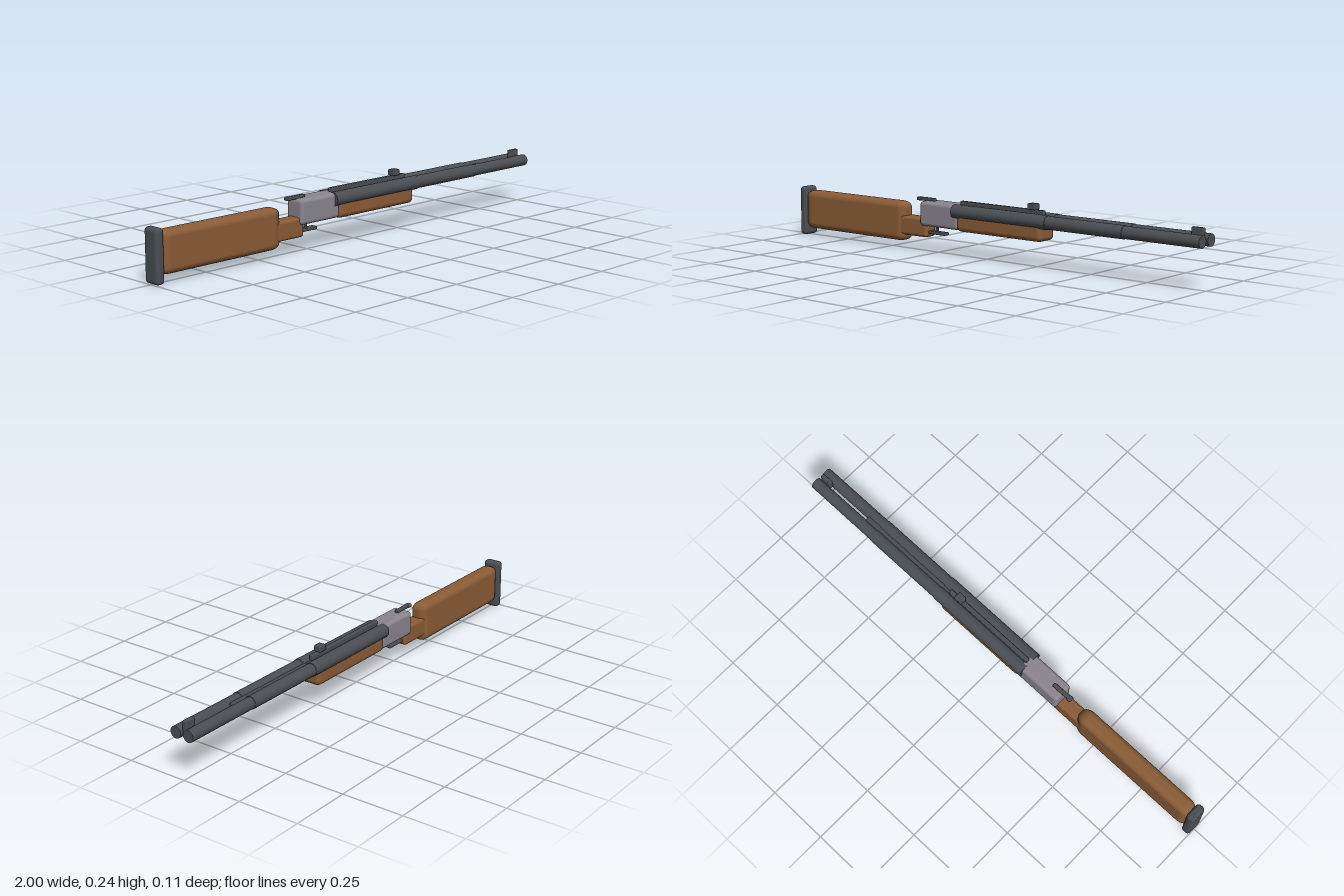
import * as THREE from 'three';
import { RoundedBoxGeometry } from 'three/addons/geometries/RoundedBoxGeometry.js';

const mat = (name, color) => {
  const m = new THREE.MeshStandardMaterial({ color });
  m.name = name;
  return m;
};

export function createModel() {
  const wood = mat('walnut wood', 0x8a5c36);
  const steel = mat('dark steel', 0x4a4e53);
  const silver = mat('silver alloy', 0x8b8590);
  const group = new THREE.Group();

  const add = (name, geometry, material, x, y, z = 0) => {
    const mesh = new THREE.Mesh(geometry, material);
    mesh.name = name;
    mesh.position.set(x, y, z);
    group.add(mesh);
    return mesh;
  };
  // Rounded block from its x and y limits and its half width
  const block = (name, material, x0, x1, y0, y1, halfZ, radius) =>
    add(name, new RoundedBoxGeometry(x1 - x0, y1 - y0, halfZ * 2, 4, radius),
      material, (x0 + x1) / 2, (y0 + y1) / 2);

  // Rear furniture
  block('buttPad', steel, -1, -0.963, 0.003, 0.206, 0.036, 0.014);
  const stock = block('stock', wood, -0.972, -0.405, 0.032, 0.192, 0.034, 0.026);
  block('wrist', wood, -0.44, -0.29, 0.06, 0.137, 0.03, 0.012);

  // Stretch the stock's end rounding lengthwise
  const p = stock.geometry.attributes.position;
  const half = 0.567 / 2;
  for (let i = 0; i < p.count; i++) {
    const x = p.getX(i);
    const fromEnd = half - Math.abs(x);
    if (fromEnd < 0.027) p.setX(i, Math.sign(x) * (half - fromEnd * 1.6));
  }
  stock.geometry.computeBoundingSphere();

  // Central body and fore-end
  block('receiver', silver, -0.315, -0.115, 0.108, 0.206, 0.042, 0.014);
  block('foreEnd', wood, -0.122, 0.297, 0.104, 0.182, 0.047, 0.02);

  // Twin stepped tubes
  const sections = [[-0.14, 0.32, 0.0275], [0.32, 0.67, 0.0255], [0.67, 1, 0.0235]];
  for (const side of [-1, 1]) {
    sections.forEach(([x0, x1, r], i) => {
      const g = new THREE.CylinderGeometry(r, r, x1 - x0, 32).rotateZ(-Math.PI / 2);
      add(`${side > 0 ? 'left' : 'right'}Tube${i + 1}`, g, steel, (x0 + x1) / 2, 0.181, side * 0.0285);
    });
  }

  // Web between the tubes, top rib and sights
  block('tubeWeb', steel, -0.13, 0.74, 0.17, 0.196, 0.012, 0.003);
  block('topRib', steel, -0.13, 0.282, 0.194, 0.22, 0.009, 0.004);
  block('rearSight', steel, 0.21, 0.246, 0.219, 0.243, 0.016, 0.004);
  block('frontSight', steel, 0.938, 0.988, 0.185, 0.227, 0.009, 0.004);

  // Top lever, lower post and plate
  block('topLever', steel, -0.357, -0.264, 0.203, 0.217, 0.008, 0.004);
  block('leverTip', steel, -0.357, -0.335, 0.203, 0.217, 0.011, 0.004);
  block('lowerPost', steel, -0.264, -0.252, 0.08, 0.115, 0.005, 0.002);
  block('lowerPlate', steel, -0.3, -0.207, 0.074, 0.086, 0.015, 0.004);

  return group;
}
